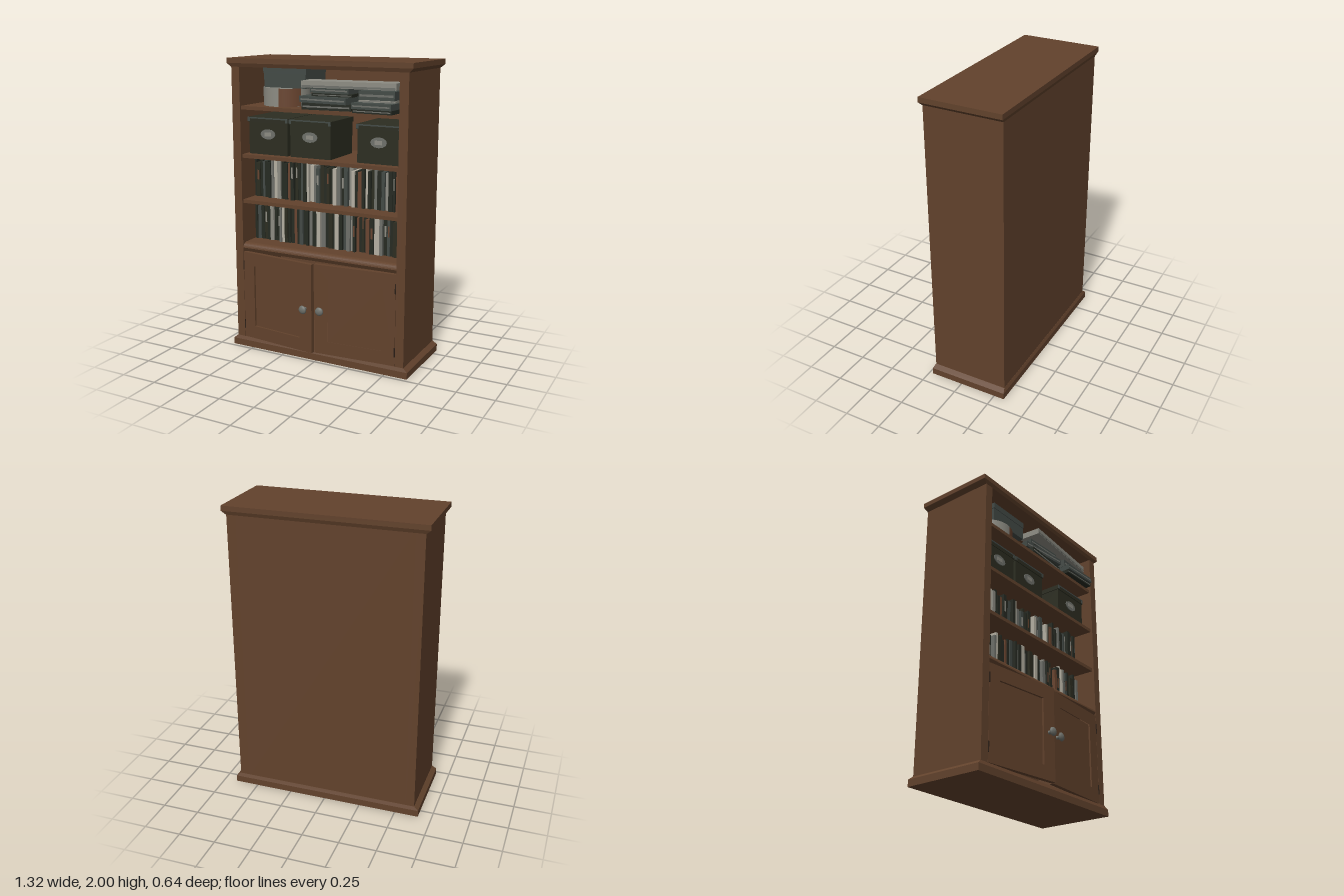
import * as THREE from 'three';

const paint = (name, color) => Object.assign(new THREE.MeshStandardMaterial({ color }), { name });
const wood = paint('wood', 0x62422c);
const iron = paint('dark iron', 0x2f2219);
const black = paint('black green', 0x262a22);
const boxGreen = paint('storage box green', 0x2c2d21);
const slate = paint('slate grey', 0x434a46);
const grey = paint('mid grey', 0x6e706a);
const light = paint('light grey', 0x8d8c83);
const cream = paint('cream', 0xb5b0a2);
const brown = paint('rust brown', 0x6a4530);

let seed = 7;
const rand = () => (seed = (seed * 16807) % 2147483647) / 2147483647;

function add(parent, name, geo, mat, x = 0, y = 0, z = 0) {
  const m = new THREE.Mesh(geo, mat);
  m.name = name;
  m.position.set(x, y, z);
  parent.add(m);
  return m;
}

// Box given by its limits on each axis
function block(parent, name, mat, x0, x1, y0, y1, z0, z1) {
  return add(parent, name, new THREE.BoxGeometry(x1 - x0, y1 - y0, z1 - z0), mat,
    (x0 + x1) / 2, (y0 + y1) / 2, (z0 + z1) / 2);
}

// Slab that tapers in towards the carcass on one side (dir = +1 up, -1 down)
function taper(parent, name, y0, y1, dir) {
  const h = y1 - y0, geo = new THREE.BoxGeometry(1.32, h, 0.546).toNonIndexed();
  const p = geo.attributes.position;
  for (let i = 0; i < p.count; i++) {
    if (p.getY(i) * dir > 0) p.setXYZ(i, p.getX(i) * 0.957, p.getY(i), p.getZ(i) * 0.965);
  }
  geo.computeVertexNormals();
  add(parent, name, geo, wood, 0, (y0 + y1) / 2, -0.048);
}

function buildCase(g) {
  for (const s of [-1, 1]) add(g, 'sidePanel', new THREE.BoxGeometry(0.06, 1.92, 0.525), wood, s * 0.6, 1, -0.0475);
  block(g, 'backPanel', wood, -0.57, 0.57, 0.04, 1.96, -0.31, -0.285);
  block(g, 'topBoard', wood, -0.66, 0.66, 1.967, 2, -0.321, 0.225);
  taper(g, 'topMoulding', 1.943, 1.967, -1);
  block(g, 'plinth', wood, -0.66, 0.66, 0, 0.045, -0.321, 0.225);
  taper(g, 'plinthMoulding', 0.045, 0.068, 1);
  for (const y of [1.687, 1.363, 1.052]) block(g, 'shelf', wood, -0.57, 0.57, y - 0.024, y, -0.29, 0.2);
  // Counter shelf with a rounded front edge
  const s = new THREE.Shape();
  s.moveTo(0.29, 0.69);
  s.lineTo(0.29, 0.75);
  s.lineTo(-0.18, 0.75);
  s.quadraticCurveTo(-0.212, 0.745, -0.214, 0.715);
  s.lineTo(-0.2, 0.69);
  const geo = new THREE.ExtrudeGeometry(s, { depth: 1.14, bevelEnabled: false, curveSegments: 6 });
  geo.rotateY(Math.PI / 2);
  add(g, 'counterShelf', geo, wood, -0.57);
}

// Door hinged at its outer edge, s = -1 or +1 for the side it hangs on
function buildDoor(g, s, angle) {
  const door = new THREE.Group();
  door.name = s > 0 ? 'leftDoor' : 'rightDoor';
  door.position.set(s * 0.57, 0, 0.215);
  door.rotation.y = s * angle;
  g.add(door);
  const rect = (P, a, b, c, d) => {
    const r = new P();
    r.moveTo(-s * a, c); r.lineTo(-s * b, c); r.lineTo(-s * b, d); r.lineTo(-s * a, d); r.closePath();
    return r;
  };
  const frame = rect(THREE.Shape, 0.002, 0.567, 0.07, 0.687);
  frame.holes.push(rect(THREE.Path, 0.09, 0.47, 0.16, 0.595));
  add(door, 'doorFrame', new THREE.ExtrudeGeometry(frame, { depth: 0.03, bevelEnabled: false }), wood, 0, 0, -0.03);
  add(door, 'doorPanel', new THREE.BoxGeometry(0.39, 0.445, 0.012), wood, -s * 0.28, 0.3775, -0.02);
  const profile = [[0.012, 0], [0.01, 0.018], [0.022, 0.024], [0.029, 0.031], [0.026, 0.039], [0.014, 0.045], [0, 0.046]];
  const knob = new THREE.LatheGeometry(profile.map(([r, y]) => new THREE.Vector2(r, y)), 16);
  knob.rotateX(Math.PI / 2);
  add(door, 'knob', knob, grey, -s * 0.518, 0.377, 0);
  for (const y of [0.163, 0.592]) add(g, 'hinge', new THREE.BoxGeometry(0.007, 0.065, 0.008), iron, s * 0.567, y, 0.215);
}

// One letter per book: k black, g green, s slate, m grey, l light, c cream, b brown
const inks = { k: black, g: boxGreen, s: slate, m: grey, l: light, c: cream, b: brown };
function buildBooks(g, y, letters, maxH) {
  const row = new THREE.Group();
  row.name = 'bookRow';
  g.add(row);
  const widths = [...letters].map(() => 0.7 + rand() * 0.6);
  const unit = 1.13 / widths.reduce((a, b) => a + b);
  let x = -0.565;
  [...letters].forEach((c, i) => {
    const w = widths[i] * unit, h = maxH * (0.82 + 0.18 * rand()), front = 0.05 + rand() * 0.03;
    block(row, 'book', inks[c], x, x + w - 0.002, y, y + h, -0.16, front);
    // Pale spine label on some dark books
    if ('kgs'.includes(c) && rand() < 0.35) {
      const ly = y + h * (0.3 + rand() * 0.3);
      block(row, 'spineLabel', rand() < 0.5 ? light : brown, x + w * 0.25, x + w * 0.7, ly, ly + h * 0.28, front, front + 0.002);
    }
    x += w;
  });
}

function buildStorageBox(g, x) {
  const box = new THREE.Group();
  box.name = 'storageBox';
  box.position.set(x, 1.363, 0);
  g.add(box);
  block(box, 'boxBody', boxGreen, -0.148, 0.148, 0, 0.215, -0.18, 0.14);
  block(box, 'boxLid', boxGreen, -0.154, 0.154, 0.215, 0.247, -0.186, 0.146);
  block(box, 'lidTrim', slate, -0.154, 0.154, 0.238, 0.247, 0.146, 0.149);
  for (const s of [-1, 1]) add(box, 'lidCorner', new THREE.BoxGeometry(0.018, 0.022, 0.004), slate, s * 0.145, 0.23, 0.147);
  const plate = new THREE.CylinderGeometry(0.034, 0.034, 0.006, 12);
  plate.rotateX(Math.PI / 2);
  plate.scale(1.65, 1, 1);
  add(box, 'labelPlate', plate, grey, 0, 0.137, 0.143);
  add(box, 'labelCard', new THREE.BoxGeometry(0.05, 0.026, 0.003), light, 0, 0.137, 0.147);
}

function buildTopShelf(g) {
  const y = 1.687;
  // Round box with a box lying on it
  add(g, 'roundBox', new THREE.CylinderGeometry(0.16, 0.16, 0.122, 32), light, -0.335, y + 0.061, -0.01);
  add(g, 'roundBoxBand', new THREE.CylinderGeometry(0.162, 0.162, 0.118, 12, 1, true, 0.15, 0.95), brown, -0.335, y + 0.06, -0.01);
  block(g, 'flatBox', slate, -0.436, -0.124, 1.81, 1.9, -0.15, 0.12);
  block(g, 'flatBoxLid', slate, -0.44, -0.12, 1.9, 1.94, -0.154, 0.124);
  // Lying books: x0, x1, y0, y1, z0, z1, turn, material
  const pile = [
    [-0.12, 0.22, 1.687, 1.728, -0.07, 0.19, 0.07, black],
    [-0.13, 0.22, 1.729, 1.77, -0.08, 0.19, -0.1, slate],
    [-0.06, 0.22, 1.771, 1.79, -0.06, 0.16, 0.05, black],
    [-0.07, 0.21, 1.791, 1.828, -0.06, 0.16, -0.04, slate],
    [0.265, 0.535, 1.687, 1.712, 0.02, 0.235, -0.04, black],
    [0.265, 0.535, 1.713, 1.75, 0.03, 0.245, -0.04, slate],
    [0.28, 0.52, 1.751, 1.764, 0, 0.18, 0.06, light],
    [0.28, 0.52, 1.765, 1.82, 0, 0.18, 0.03, slate],
  ];
  for (const [x0, x1, y0, y1, z0, z1, turn, mat] of pile) {
    const book = block(g, 'lyingBook', mat, x0, x1, y0, y1, z0, z1);
    book.rotation.y = turn;
    // Page block showing at the front edge
    add(book, 'pages', new THREE.BoxGeometry((x1 - x0) * 0.94, (y1 - y0) * 0.25, 0.003), grey, 0, 0, (z1 - z0) / 2);
  }
  const folio = block(g, 'longFolio', light, -0.1, 0.53, 1.83, 1.872, 0.06, 0.21);
  folio.rotation.y = 0.08;
  add(folio, 'folioEdge', new THREE.BoxGeometry(0.62, 0.012, 0.003), grey, 0, -0.012, 0.075);
}

export function createModel() {
  const g = new THREE.Group();
  g.name = 'bookcase';
  buildCase(g);
  buildDoor(g, -1, 0.108);
  buildDoor(g, 1, 0.07);
  buildBooks(g, 1.052, 'kgkskkmclkkbkgkskccmsgkgkcmkslckbkckgmkslkkbkm', 0.285);
  buildBooks(g, 0.75, 'kskgklkkmcgkkbkskkmkcmkgkcksmlkbkgkbkccmkskgkm', 0.28);
  for (const x of [-0.4, -0.083, 0.405]) buildStorageBox(g, x);
  buildTopShelf(g);
  return g;
}
